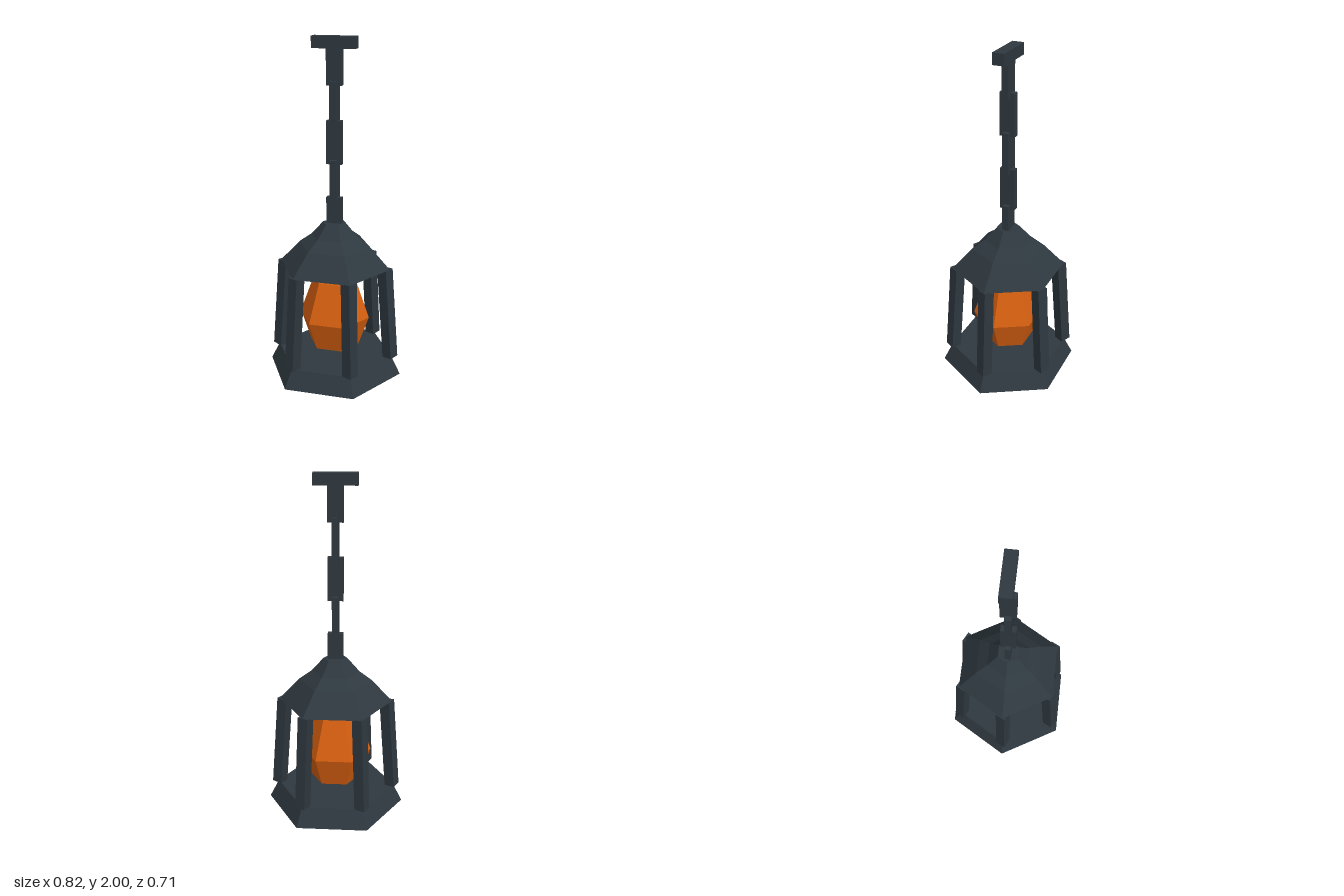
import * as THREE from 'three';

const iron = new THREE.MeshStandardMaterial({ color: 0x2e383f, flatShading: true });
iron.name = 'dark iron';
const ember = new THREE.MeshStandardMaterial({ color: 0xd65f10, flatShading: true });
ember.name = 'ember orange';

function add(parent, name, geometry, material, x = 0, y = 0, z = 0) {
  const mesh = new THREE.Mesh(geometry, material);
  mesh.name = name;
  mesh.position.set(x, y, z);
  parent.add(mesh);
  return mesh;
}

// Solid six-sided form with corners on the x axis; profile runs [radius, height] upwards
function hexSolid(profile) {
  const points = profile.map(([r, y]) => new THREE.Vector2(r, y));
  points.unshift(new THREE.Vector2(0, points[0].y));
  points.push(new THREE.Vector2(0, points[points.length - 1].y));
  return new THREE.LatheGeometry(points, 6, Math.PI / 6);
}

export function createModel() {
  const lantern = new THREE.Group();
  lantern.name = 'hangingLantern';

  // Base, roof and glowing core
  add(lantern, 'base', hexSolid([[0.41, 0], [0.355, 0.11]]), iron);
  add(lantern, 'roof', hexSolid([[0.335, 0.67], [0.215, 0.8], [0.14, 0.855], [0.07, 0.935]]), iron);
  add(lantern, 'glowingCore', hexSolid([[0.15, 0.17], [0.213, 0.35], [0.13, 0.585]]), ember);

  // Six posts leaning inwards, each twisted by the same angle
  const posts = new THREE.Group();
  posts.name = 'posts';
  lantern.add(posts);
  const up = new THREE.Vector3(0, 1, 0);
  const twist = new THREE.Quaternion().setFromAxisAngle(up, -0.48);
  for (let i = 0; i < 6; i++) {
    const a = (i * Math.PI) / 3;
    const bottom = new THREE.Vector3(Math.cos(a) * 0.347, 0.112, Math.sin(a) * 0.347);
    const top = new THREE.Vector3(Math.cos(a) * 0.305, 0.672, Math.sin(a) * 0.305);
    const axis = top.clone().sub(bottom);
    const post = add(posts, 'post', new THREE.BoxGeometry(0.064, axis.length(), 0.064), iron);
    post.position.copy(bottom).add(top).multiplyScalar(0.5);
    post.quaternion.setFromUnitVectors(up, axis.normalize()).multiply(twist);
  }

  // Chain of flat links turned alternately, hung from a ceiling plate
  const chain = new THREE.Group();
  chain.name = 'chain';
  lantern.add(chain);
  for (let i = 0; i < 5; i++) {
    const link = add(chain, 'link', new THREE.BoxGeometry(0.09, 0.25, 0.038), iron, 0, 0.965 + i * 0.223, 0);
    link.rotation.y = i % 2 ? Math.PI / 2 : 0;
  }
  add(lantern, 'ceilingPlate', new THREE.BoxGeometry(0.25, 0.066, 0.068), iron, 0, 1.967, 0);

  return lantern;
}
